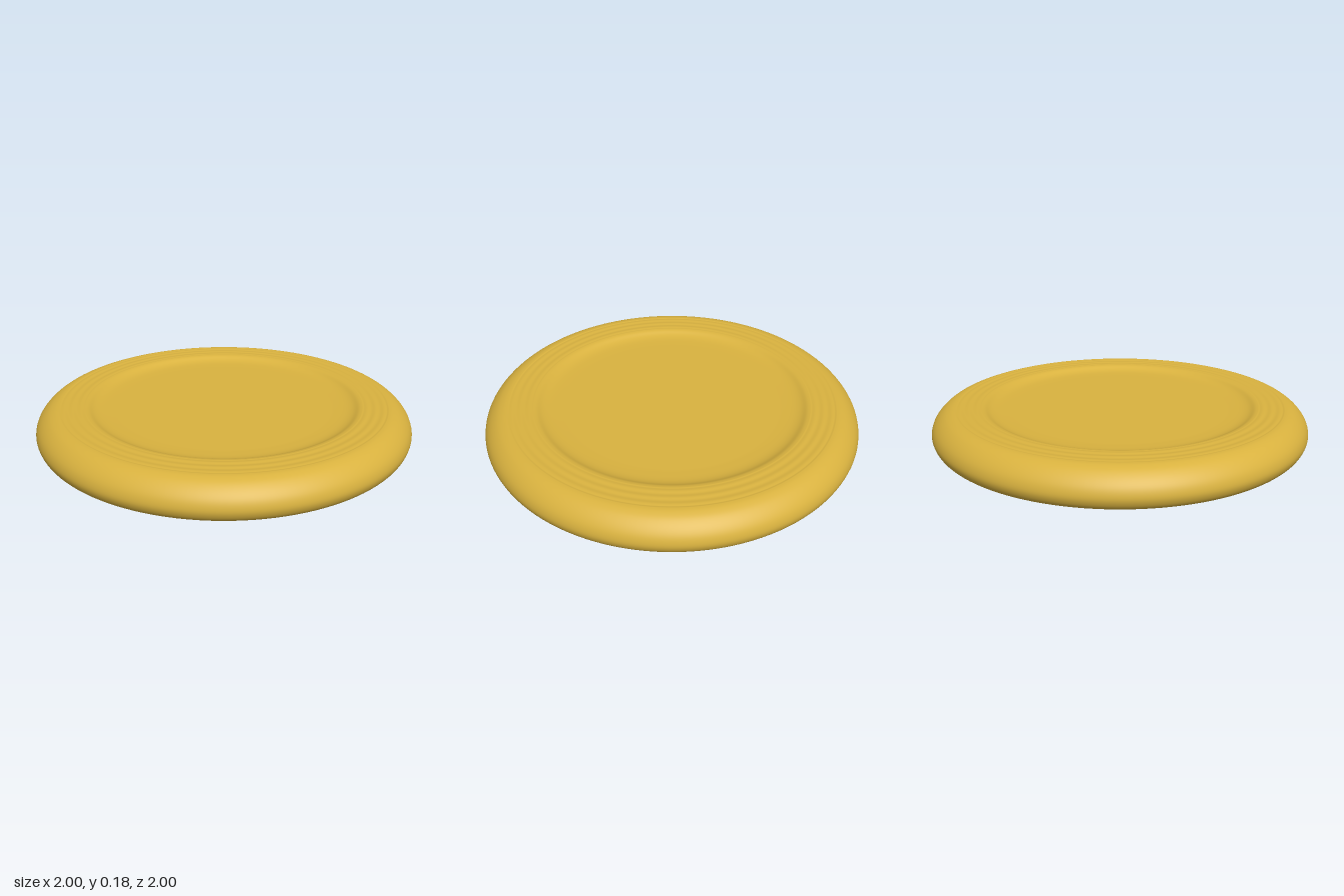
import * as THREE from 'three';

// Smooth curve through [radius, height] points
function smooth(points, divisions) {
  return new THREE.SplineCurve(points.map(([r, y]) => new THREE.Vector2(r, y))).getPoints(divisions);
}

export function createModel() {
  const group = new THREE.Group();
  group.name = 'flyingDisc';
  const material = new THREE.MeshStandardMaterial({ color: 0xd9b23f });

  // Hollow underside: flat ceiling, rounded corner, inner wall down to the rim
  const underside = smooth([
    [0.66, 0.13], [0.74, 0.128], [0.82, 0.115], [0.88, 0.085],
    [0.91, 0.05], [0.922, 0.02], [0.935, 0.004], [0.95, 0],
  ], 28);

  // Rounded outer rim rising to the shoulder
  const rim = smooth([
    [0.95, 0], [0.97, 0.003], [0.99, 0.025], [1, 0.06], [0.99, 0.1],
    [0.965, 0.135], [0.93, 0.163], [0.895, 0.177], [0.87, 0.18],
  ], 32);

  // Fine grip rings on the top of the shoulder
  const grip = [];
  for (let i = 1; i < 32; i++) {
    const t = i / 32;
    grip.push(new THREE.Vector2(0.87 - 0.13 * t, 0.179 - 0.001 * Math.cos(t * Math.PI * 6)));
  }

  // Shallow step down to the flat central plate
  const recess = smooth([
    [0.74, 0.179], [0.72, 0.175], [0.69, 0.161], [0.65, 0.153], [0.58, 0.15],
  ], 16);

  const profile = [
    new THREE.Vector2(0, 0.13),
    ...underside,
    ...rim.slice(1),
    ...grip,
    ...recess,
    new THREE.Vector2(0, 0.15),
  ];
  const disc = new THREE.Mesh(new THREE.LatheGeometry(profile, 128), material);
  disc.name = 'disc';
  group.add(disc);
  return group;
}
